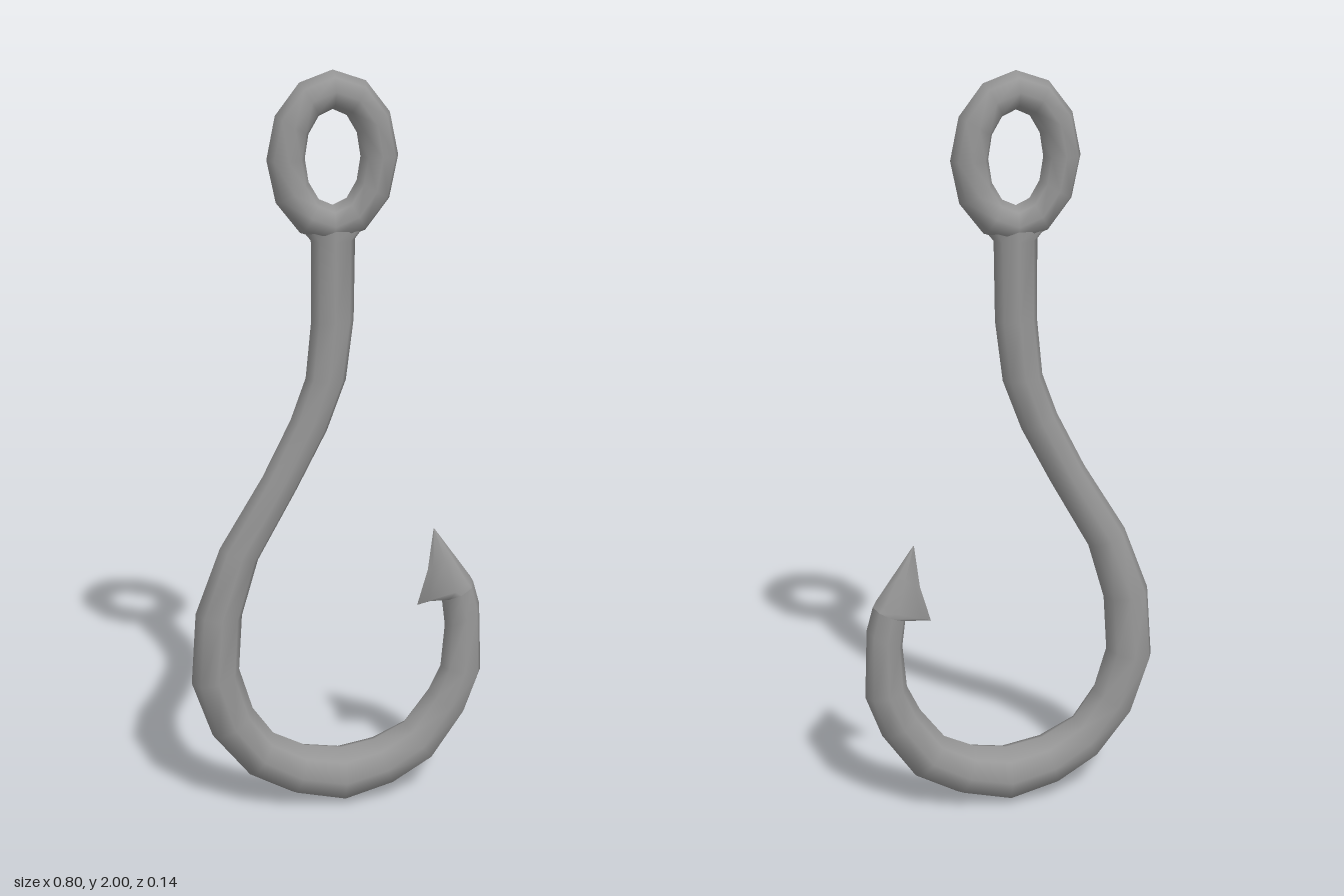
import * as THREE from 'three';
import { toCreasedNormals } from 'three/addons/utils/BufferGeometryUtils.js';

const SIDES = 8;
const CREASE = 1.4;

// Skin a row of cross-sections: [outerX, outerY, innerX, innerY, halfDepth, bladed].
// A bladed section thins to a sharp edge on its inner side.
function loft(sections) {
  const positions = [], index = [];
  sections.forEach(([ox, oy, ix, iy, depth, bladed]) => {
    const mid = bladed ? 0.35 : 0.5;
    const cx = ox + (ix - ox) * mid, cy = oy + (iy - oy) * mid;
    for (let j = 0; j < SIDES; j++) {
      const a = (j / SIDES) * Math.PI * 2, c = Math.cos(a), s = Math.sin(a);
      const reach = c > 0 ? mid : 1 - mid;
      const thin = bladed && c < -0.1 ? (1 + c) * Math.sign(s) : s;
      positions.push(cx + (ox - ix) * reach * c, cy + (oy - iy) * reach * c, depth * thin);
    }
  });
  for (let i = 0; i < sections.length - 1; i++) {
    for (let j = 0; j < SIDES; j++) {
      const k = (j + 1) % SIDES, a = i * SIDES, b = a + SIDES;
      index.push(a + j, b + j, a + k, b + j, b + k, a + k);
    }
  }
  const geometry = new THREE.BufferGeometry();
  geometry.setAttribute('position', new THREE.Float32BufferAttribute(positions, 3));
  geometry.setIndex(index);
  return toCreasedNormals(geometry, CREASE);
}

// Oval ring of even thickness, slightly thinner towards the bottom
function ovalRing(radiusX, radiusY, tube, depth) {
  const geometry = new THREE.TorusGeometry(1, tube, SIDES, 12);
  const { position, uv } = geometry.attributes;
  for (let i = 0; i < position.count; i++) {
    const u = uv.getX(i) * Math.PI * 2, v = uv.getY(i) * Math.PI * 2;
    const r = tube * Math.cos(v);
    position.setXYZ(
      i,
      (radiusX + r) * Math.cos(u),
      (radiusY + r) * Math.sin(u),
      depth * (1 + 0.06 * Math.sin(u)) * Math.sin(v),
    );
  }
  return toCreasedNormals(geometry, CREASE);
}

export function createModel() {
  const group = new THREE.Group();
  const material = new THREE.MeshStandardMaterial({ color: 0x979797 });
  const add = (name, geometry) => {
    const mesh = new THREE.Mesh(geometry, material);
    mesh.name = name;
    group.add(mesh);
    return mesh;
  };

  // Oval eye at the top
  add('eye', ovalRing(0.118, 0.167, 0.048, 0.044)).position.set(-0.014, 1.785, 0);

  // Shank flaring into the eye, then the bend, thickest at the bottom
  add('shankAndBend', loft([
    [-0.108, 1.625, 0.08, 1.625, 0.036],
    [-0.07, 1.578, 0.043, 1.578, 0.038],
    [-0.07, 1.37, 0.04, 1.37, 0.041],
    [-0.085, 1.22, 0.02, 1.21, 0.041],
    [-0.125, 1.11, -0.03, 1.075, 0.041],
    [-0.2, 0.96, -0.11, 0.92, 0.042],
    [-0.315, 0.77, -0.215, 0.73, 0.046],
    [-0.383, 0.59, -0.26, 0.575, 0.056],
    [-0.398, 0.39, -0.27, 0.42, 0.062],
    [-0.345, 0.23, -0.235, 0.3, 0.06],
    [-0.245, 0.1, -0.18, 0.22, 0.057],
    [-0.13, 0.035, -0.09, 0.172, 0.067],
    [0.01, 0, 0.01, 0.155, 0.071],
    [0.15, 0.037, 0.1, 0.17, 0.066],
    [0.265, 0.102, 0.185, 0.212, 0.056],
    [0.355, 0.235, 0.25, 0.3, 0.053],
    [0.398, 0.355, 0.285, 0.375, 0.05],
    [0.39, 0.55, 0.295, 0.495, 0.046],
    [0.372, 0.615, 0.285, 0.575, 0.044],
  ]));

  // Barbed point: flared underside, then a blade narrowing to the tip
  add('barbedPoint', loft([
    [0.372, 0.615, 0.285, 0.575, 0.044],
    [0.363, 0.632, 0.217, 0.56, 0.044, true],
    [0.312, 0.705, 0.245, 0.66, 0.022, true],
    [0.261, 0.778, 0.259, 0.777, 0.001, true],
  ]));

  return group;
}
